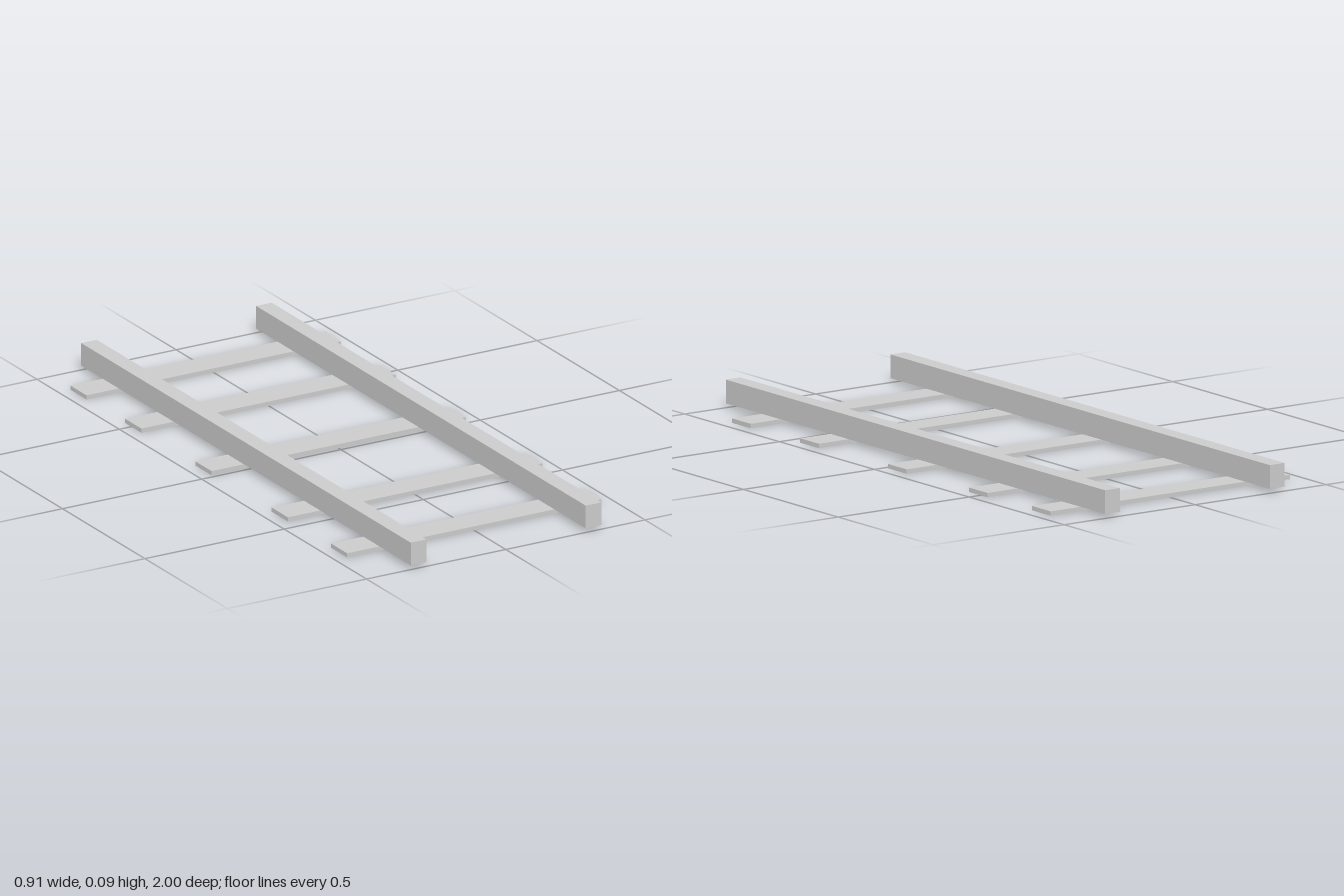
import * as THREE from 'three';

const TIE_HEIGHT = 0.014;
const RAIL_HEIGHT = 0.075;

export function createModel() {
  const track = new THREE.Group();
  track.name = 'railTrack';
  const material = new THREE.MeshStandardMaterial({ color: 0xcccccc, flatShading: true });

  const addBeam = (name, geometry, x, y, z) => {
    const beam = new THREE.Mesh(geometry, material);
    beam.name = name;
    beam.position.set(x, y, z);
    track.add(beam);
  };

  // Thin, unevenly spaced cross ties lying on the ground
  const tieGeometry = new THREE.BoxGeometry(0.914, TIE_HEIGHT, 0.098);
  [-0.821, -0.488, -0.062, 0.401, 0.761].forEach((z, i) => {
    addBeam(`tie${i + 1}`, tieGeometry, 0, TIE_HEIGHT / 2, z);
  });

  // Two long rails resting on the ties
  const railGeometry = new THREE.BoxGeometry(0.056, RAIL_HEIGHT, 2);
  const railY = TIE_HEIGHT + RAIL_HEIGHT / 2;
  addBeam('leftRail', railGeometry, 0.315, railY, 0);
  addBeam('rightRail', railGeometry, -0.313, railY, 0);

  return track;
}
